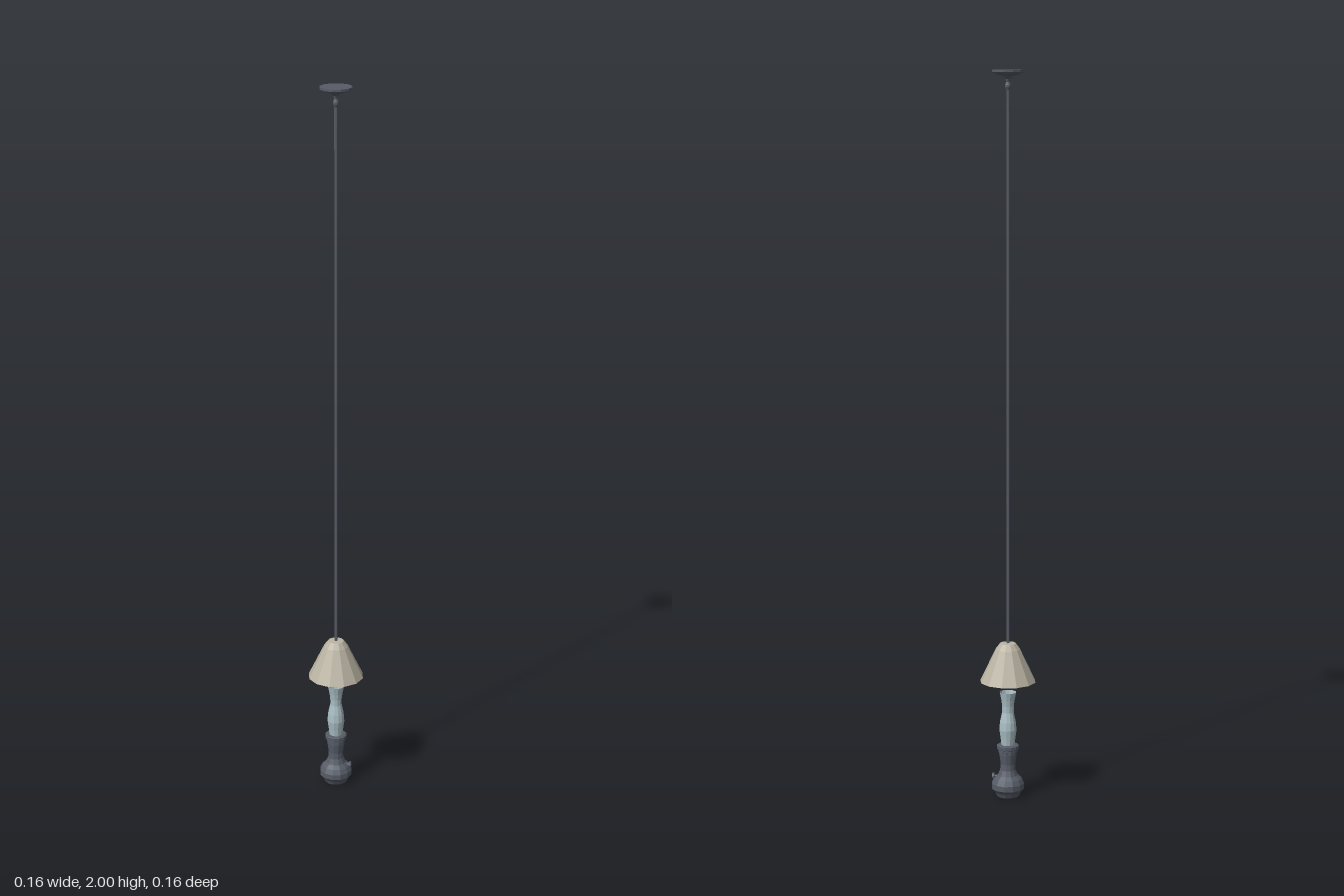
import * as THREE from 'three';

const SIDES = 12;

function material(name, color, doubleSided = false) {
  const m = new THREE.MeshStandardMaterial({ color, flatShading: true });
  m.name = name;
  if (doubleSided) m.side = THREE.DoubleSide;
  return m;
}

// Turned part from [radius, height] pairs listed bottom to top
function turned(name, mat, profile, sides = SIDES) {
  const points = profile.map(([r, y]) => new THREE.Vector2(r, y));
  const mesh = new THREE.Mesh(new THREE.LatheGeometry(points, sides), mat);
  mesh.name = name;
  return mesh;
}

export function createModel() {
  const metal = material('slate metal', 0x565c67);
  const glass = material('pale blue glass', 0xa9bec4, true);
  const linen = material('cream shade', 0xbab4a3, true);

  const lamp = new THREE.Group();
  lamp.name = 'hangingLamp';

  // Ceiling plate with its flared neck and end bead
  lamp.add(turned('ceilingPlate', metal, [
    [0, 1.945], [0.005, 1.947], [0.008, 1.954], [0.008, 1.96], [0.005, 1.968],
    [0.007, 1.976], [0.014, 1.983], [0.04, 1.991], [0.0435, 1.994], [0.0435, 2], [0, 2],
  ]));

  // Long hanging rod
  const rod = new THREE.Mesh(new THREE.CylinderGeometry(0.0045, 0.0045, 1.525, 8), metal);
  rod.name = 'rod';
  rod.position.y = 1.1925;
  lamp.add(rod);

  // Open bell shade with closed crown
  lamp.add(turned('shade', linen, [
    [0.078, 0.328], [0.054, 0.378], [0.034, 0.42], [0.022, 0.436], [0, 0.437],
  ]));

  // Glass chimney
  lamp.add(turned('chimney', glass, [
    [0.018, 0.14], [0.021, 0.165], [0.0245, 0.19], [0.0225, 0.212],
    [0.0165, 0.24], [0.0165, 0.258], [0.019, 0.275], [0.0235, 0.297],
  ]));

  // Oil reservoir with round foot and waisted neck
  lamp.add(turned('reservoir', metal, [
    [0, 0], [0.031, 0], [0.037, 0.012], [0.0455, 0.022], [0.0455, 0.037], [0.039, 0.05],
    [0.028, 0.06], [0.022, 0.075], [0.021, 0.092], [0.025, 0.12], [0.025, 0.128], [0, 0.128],
  ]));

  // Burner collar
  lamp.add(turned('collar', metal, [
    [0.024, 0.125], [0.027, 0.127], [0.027, 0.134], [0.031, 0.136], [0.031, 0.145],
    [0.027, 0.147], [0, 0.147],
  ]));

  // Wick knob on its short stem
  const knob = new THREE.Group();
  knob.name = 'wickKnob';
  for (const [radius, length, x] of [[0.004, 0.022, 0.03], [0.009, 0.006, 0.041]]) {
    const piece = new THREE.Mesh(new THREE.CylinderGeometry(radius, radius, length, 8), metal);
    piece.rotation.z = Math.PI / 2;
    piece.position.set(x, 0.054, 0);
    knob.add(piece);
  }
  lamp.add(knob);

  return lamp;
}
